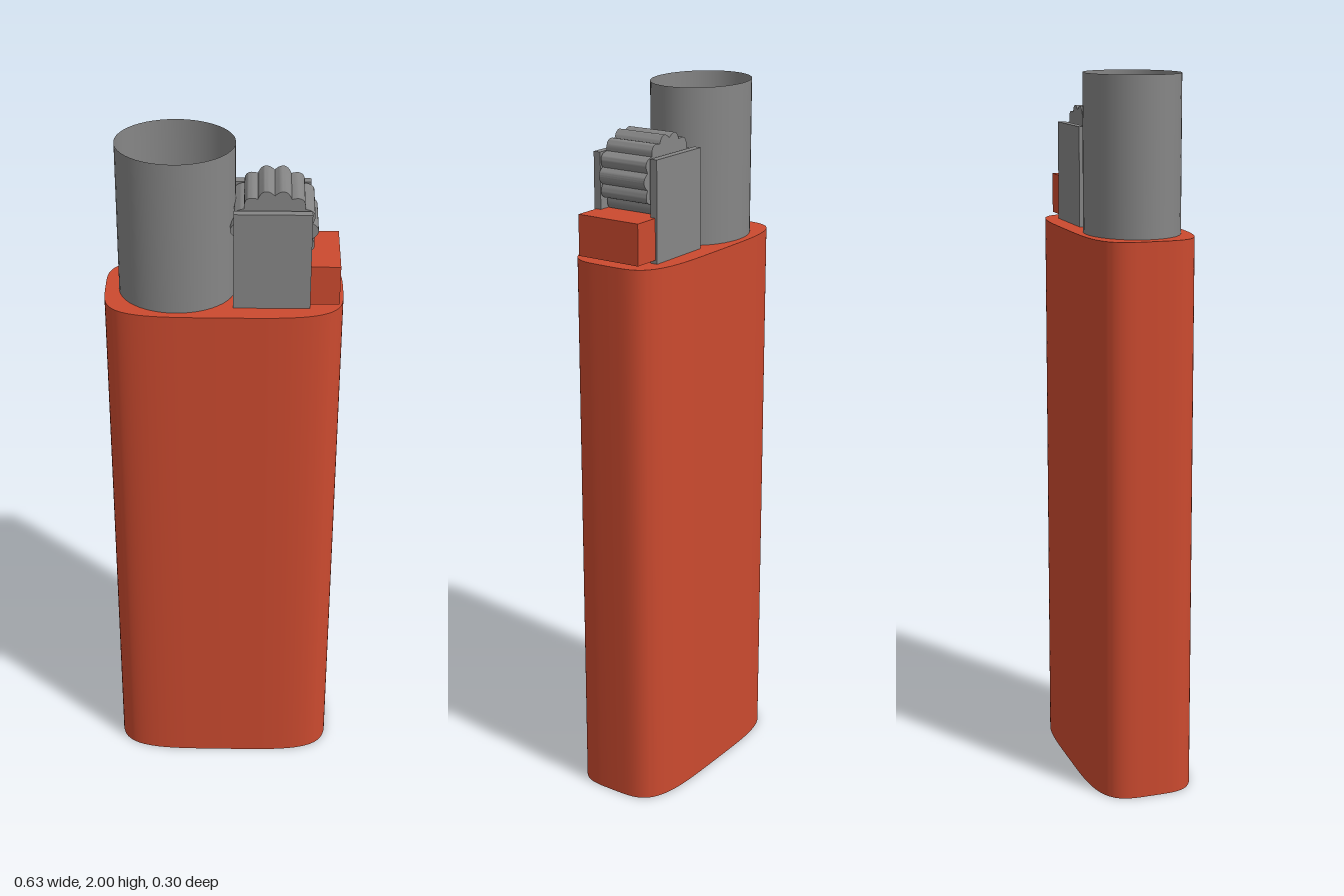
import * as THREE from 'three';
import { toCreasedNormals } from 'three/addons/utils/BufferGeometryUtils.js';

const red = new THREE.MeshStandardMaterial({ color: 0xcb4a2f });
red.name = 'red plastic';
const metal = new THREE.MeshStandardMaterial({ color: 0x868686, side: THREE.DoubleSide });
metal.name = 'grey metal';

// Extrude a closed outline, keeping the rim edges sharp
function extrude(points, depth) {
  const geo = new THREE.ExtrudeGeometry(new THREE.Shape(points), {
    depth, bevelEnabled: false,
  });
  return toCreasedNormals(geo, 0.7);
}

// Sample an outline given by a function of the angle
function outline(count, fn) {
  return Array.from({ length: count }, (_, i) => fn((i / count) * Math.PI * 2));
}

export function createModel() {
  const group = new THREE.Group();
  group.name = 'lighter';

  function add(name, geo, material, x = 0, y = 0, z = 0) {
    const mesh = new THREE.Mesh(geo, material);
    mesh.name = name;
    mesh.position.set(x, y, z);
    group.add(mesh);
    return mesh;
  }
  const box = (name, mat, x0, x1, y0, y1, z0, z1) =>
    add(name, new THREE.BoxGeometry(x1 - x0, y1 - y0, z1 - z0), mat,
      (x0 + x1) / 2, (y0 + y1) / 2, (z0 + z1) / 2);

  // Body: tall rounded-rectangle (squircle) tank
  const root = (v) => Math.sign(v) * Math.sqrt(Math.abs(v));
  const section = outline(96, (a) =>
    new THREE.Vector2(0.317 * root(Math.cos(a)), 0.152 * root(Math.sin(a))));
  const body = extrude(section, 1.573);
  body.rotateX(-Math.PI / 2);
  add('body', body, red);

  // Flame guard: thin open oval tube
  const guard = new THREE.CylinderGeometry(1, 1, 0.427, 48, 1, true);
  guard.scale(0.155, 1, 0.13);
  add('flameGuard', guard, metal, -0.125, 1.7865, 0);

  // Gas nozzle inside the guard
  add('nozzle', new THREE.CylinderGeometry(0.028, 0.035, 0.13, 24), metal, -0.123, 1.638, 0);

  // Cheek plates on either side of the wheel
  for (const [name, side] of [['leftPlate', 1], ['rightPlate', -1]]) {
    box(name, metal, 0.025, 0.227, 1.573, 1.848, side * 0.091 - 0.0105, side * 0.091 + 0.0105);
  }

  // Spark wheel with rounded teeth
  const teeth = outline(14 * 10, (a) => {
    const r = 0.1 + 0.014 * Math.abs(Math.cos(7 * a));
    return new THREE.Vector2(r * Math.cos(a), r * Math.sin(a));
  });
  add('sparkWheel', extrude(teeth, 0.146), metal, 0.13, 1.787, -0.073);

  // Gas button
  box('button', red, 0.09, 0.304, 1.583, 1.695, -0.096, 0.096);

  return group;
}
